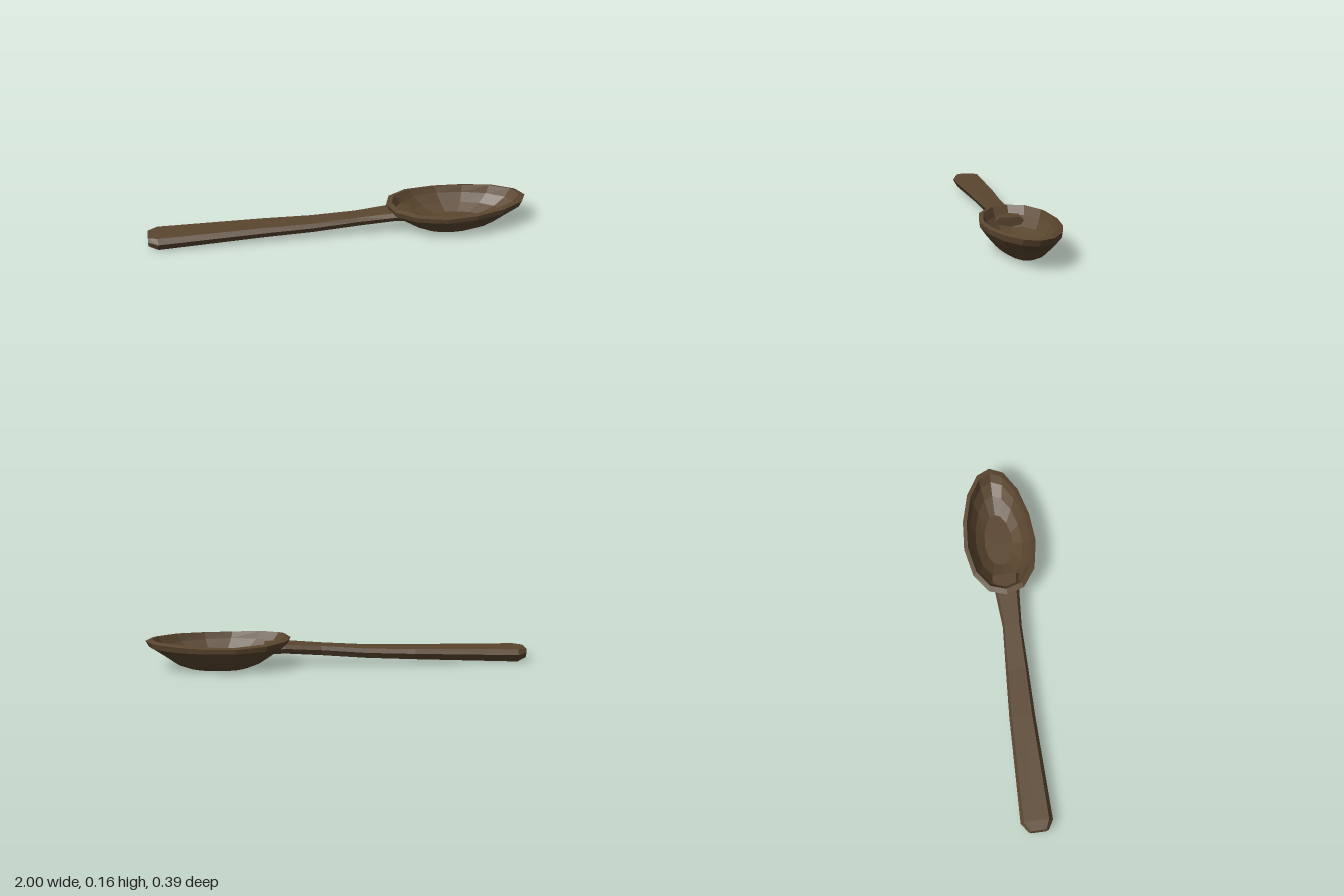
import * as THREE from 'three';

// Skins a list of closed rings and caps both ends.
function loft(rings) {
  const n = rings[0].length, pos = [], index = [];
  rings.forEach(r => r.forEach(p => pos.push(...p)));
  for (let i = 0; i < rings.length - 1; i++) {
    for (let j = 0; j < n; j++) {
      const k = (j + 1) % n;
      const a = i * n + j, b = i * n + k, c = a + n, d = b + n;
      index.push(a, c, b, b, c, d);
    }
  }
  const cap = (start, flip) => {
    const ring = rings[start / n];
    const centre = pos.length / 3;
    pos.push(...[0, 1, 2].map(q => ring.reduce((s, p) => s + p[q], 0) / n));
    for (let j = 0; j < n; j++) {
      const a = start + j, b = start + (j + 1) % n;
      if (flip) index.push(centre, b, a);
      else index.push(centre, a, b);
    }
  };
  cap(0, false);
  cap((rings.length - 1) * n, true);
  const g = new THREE.BufferGeometry();
  g.setAttribute('position', new THREE.Float32BufferAttribute(pos, 3));
  g.setIndex(index);
  const flat = g.toNonIndexed();
  flat.computeVertexNormals();
  return flat;
}

export function createModel() {
  const group = new THREE.Group();
  const wood = new THREE.MeshStandardMaterial({ color: 0x5a462f, flatShading: true });
  wood.name = 'dark wood';
  const add = (name, rings) => {
    const mesh = new THREE.Mesh(loft(rings), wood);
    mesh.name = name;
    group.add(mesh);
  };

  // Egg-shaped bowl outline: x along the length from 0 to 1, z half width
  const half = [[0.955, 0.072], [0.81, 0.138], [0.605, 0.18], [0.39, 0.193], [0.175, 0.163], [0.04, 0.092]];
  const outline = [[1, 0], ...half, [0, 0], ...half.slice().reverse().map(([u, z]) => [u, -z])];

  // Bowl levels: height, near x, far x, width scale, sag of the rim at the sides
  const levels = [
    [0, 0.47, 0.77, 0.41, 0],
    [0.028, 0.40, 0.845, 0.62, 0],
    [0.075, 0.33, 0.91, 0.83, 0],
    [0.121, 0.262, 0.98, 0.985, 0.004],
    [0.153, 0.247, 0.997, 1, 0.012],
    [0.16, 0.277, 0.965, 0.89, 0.013],
    [0.115, 0.31, 0.935, 0.81, 0],
    [0.07, 0.38, 0.87, 0.65, 0],
    [0.038, 0.47, 0.77, 0.4, 0],
  ];
  add('bowl', levels.map(([y, x0, x1, s, sag]) =>
    outline.map(([u, z]) => [x0 + u * (x1 - x0), y - sag * (z / 0.193) ** 4, z * s])));

  // Handle stations: x, bottom y, top y, back z, front z
  const stations = [
    [-1, 0.02, 0.069, -0.062, 0.04],
    [-0.95, 0.004, 0.073, -0.096, 0.068],
    [-0.4, 0.029, 0.086, -0.078, 0.056],
    [-0.15, 0.04, 0.092, -0.062, 0.056],
    [0.09, 0.058, 0.109, -0.046, 0.054],
    [0.28, 0.075, 0.124, -0.06, 0.068],
    [0.38, 0.072, 0.118, -0.064, 0.08],
  ];
  // Six-sided section with bevelled sides
  add('handle', stations.map(([x, y0, y1, z0, z1]) => {
    const w = z1 - z0, mid = y0 + (y1 - y0) * 0.6;
    return [
      [x, mid, z1], [x, y1, z1 - w * 0.12], [x, y1, z0 + w * 0.1],
      [x, mid, z0], [x, y0, z0 + w * 0.15], [x, y0, z1 - w * 0.15],
    ];
  }));

  return group;
}
